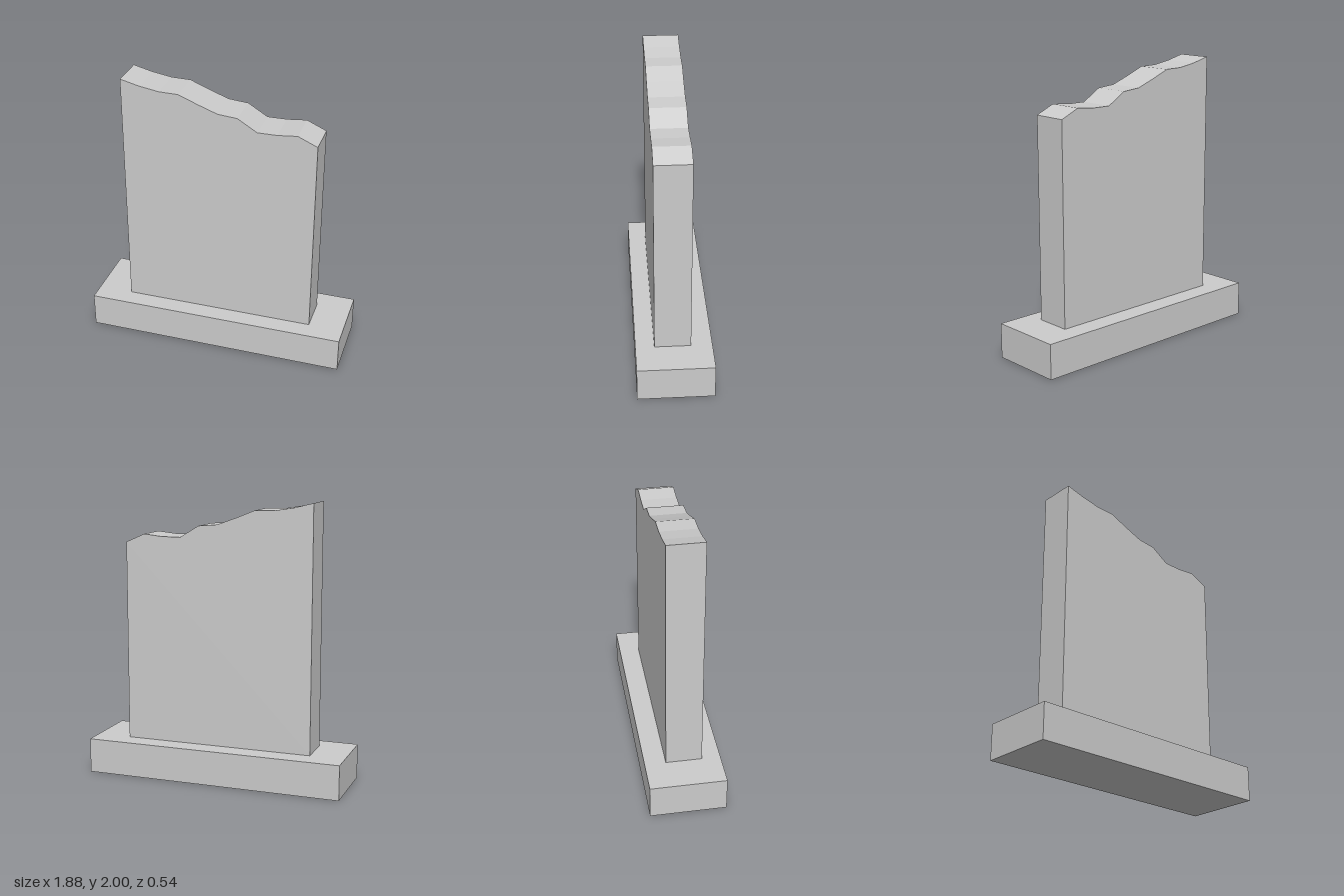
import * as THREE from 'three';

export function createModel() {
  const model = new THREE.Group();
  const stone = new THREE.MeshStandardMaterial({ color: 0xcccccc, flatShading: true });

  // Plinth
  const baseHeight = 0.25;
  const base = new THREE.Mesh(new THREE.BoxGeometry(1.88, baseHeight, 0.54), stone);
  base.name = 'base';
  base.position.y = baseHeight / 2;
  model.add(base);

  // Upright slab with a broken top edge, heights evenly spaced from right to left
  const halfWidth = 0.69, back = -0.12, depth = 0.257;
  const heights = [2, 1.966, 1.944, 1.942, 1.887, 1.837, 1.825, 1.741, 1.742, 1.756, 1.695];
  const outline = new THREE.Shape();
  outline.moveTo(-halfWidth, baseHeight);
  outline.lineTo(halfWidth, baseHeight);
  for (let i = heights.length - 1; i >= 0; i--) {
    outline.lineTo(-halfWidth + (2 * halfWidth * i) / (heights.length - 1), heights[i]);
  }
  outline.closePath();
  const slab = new THREE.Mesh(
    new THREE.ExtrudeGeometry(outline, { depth, bevelEnabled: false }), stone);
  slab.name = 'brokenSlab';
  slab.position.z = back;
  model.add(slab);

  return model;
}
